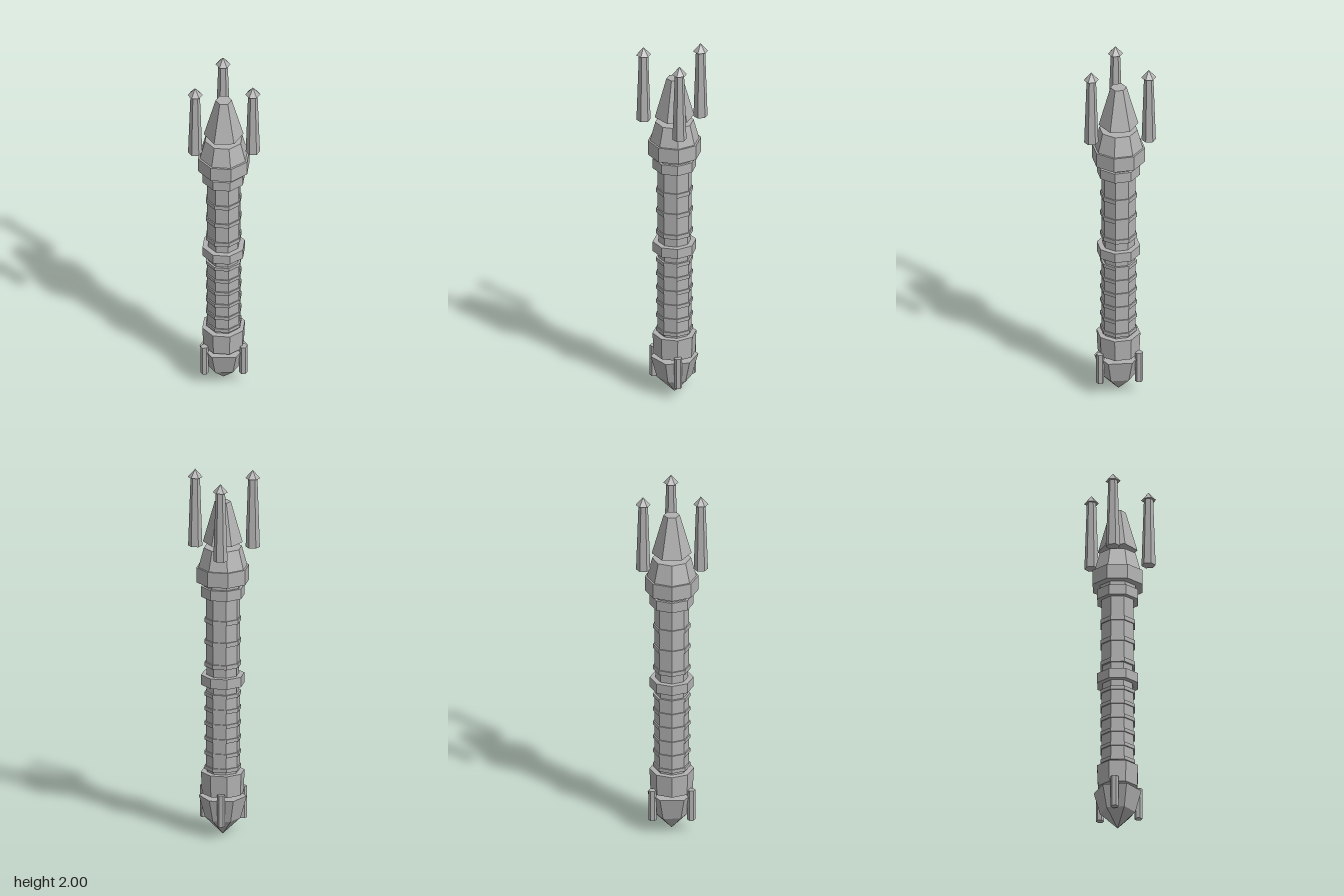
import * as THREE from 'three';

export function createModel() {
  const group = new THREE.Group();
  const grey = new THREE.MeshStandardMaterial({ color: 0xb2b2b2 });
  grey.name = 'grey metal';
  grey.flatShading = true;
  const AXIS = -0.035; // the handle axis, offset by the lone prong on +x

  // Upright prism or frustum between two heights
  function prism(name, y0, y1, r0, r1, sides = 8, x = AXIS, z = 0) {
    const mesh = new THREE.Mesh(new THREE.CylinderGeometry(r1, r0, y1 - y0, sides), grey);
    mesh.name = name;
    mesh.position.set(x, (y0 + y1) / 2, z);
    group.add(mesh);
  }

  // Pommel: hexagonal cup over a point
  prism('pommelTip', 0, 0.09, 0, 0.095, 6);
  prism('pommelCup', 0.09, 0.212, 0.095, 0.128, 6);

  // Lower grip
  prism('bottomCollar', 0.23, 0.35, 0.113, 0.118);
  prism('lowerNeck', 0.35, 0.375, 0.086, 0.086);
  prism('lowerGrip', 0.37, 0.79, 0.092, 0.092);
  for (let i = 0; i < 6; i++) {
    const y = 0.375 + i * 0.082;
    prism('lowerGripRing', y - 0.01, y + 0.01, 0.099, 0.099);
  }

  // Middle collar and its necks
  prism('middleNeck', 0.785, 0.95, 0.087, 0.087);
  prism('middleCollar', 0.835, 0.89, 0.117, 0.117);

  // Upper grip
  prism('upperGrip', 0.94, 1.33, 0.092, 0.092);
  for (const y of [0.95, 1.075, 1.195]) {
    prism('upperGripRing', y - 0.012, y + 0.012, 0.099, 0.099);
  }
  prism('upperCollar', 1.325, 1.382, 0.117, 0.117);
  prism('upperNeck', 1.38, 1.41, 0.102, 0.102);

  // Head and the floating spire
  prism('headBand', 1.407, 1.49, 0.143, 0.143);
  prism('headTaper', 1.49, 1.597, 0.132, 0.103);
  prism('spire', 1.625, 1.85, 0.106, 0.043, 6);

  // Three prongs around the spire and three studs around the pommel
  for (let i = 0; i < 3; i++) {
    const a = (i * Math.PI * 2) / 3;
    const place = (r) => [AXIS + r * Math.cos(a), r * Math.sin(a)];
    prism('prongShaft', 1.573, 1.957, 0.038, 0.025, 6, ...place(0.177));
    prism('prongTip', 1.955, 2, 0.04, 0, 6, ...place(0.177));
    prism('pommelStud', 0.075, 0.25, 0.0215, 0.0215, 6, ...place(0.119));
  }
  return group;
}
